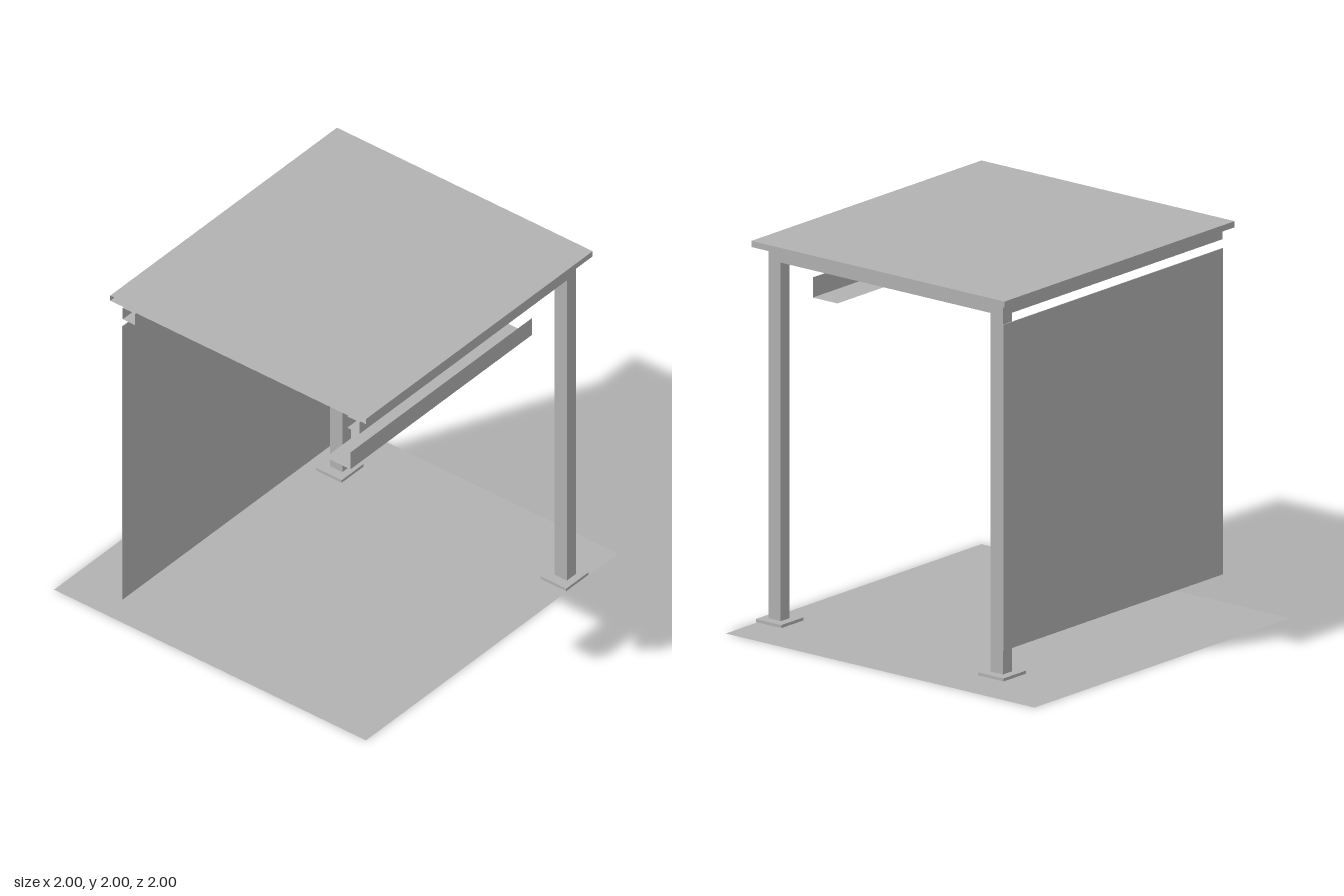
import * as THREE from 'three';

export function createModel() {
  const group = new THREE.Group();
  const grey = new THREE.MeshStandardMaterial({ color: 0xb2b2b2, side: THREE.DoubleSide });
  grey.name = 'light grey';

  // Box given by its two opposite corners; skipped faces are left open
  // (face order: +x, -x, +y, -y, +z, -z)
  function box(name, [x0, x1], [y0, y1], [z0, z1], open = []) {
    const geo = new THREE.BoxGeometry(x1 - x0, y1 - y0, z1 - z0);
    const index = [...geo.index.array];
    geo.setIndex(index.filter((_, i) => !open.includes(Math.floor(i / 6))));
    geo.clearGroups();
    const mesh = new THREE.Mesh(geo, grey);
    mesh.name = name;
    mesh.position.set((x0 + x1) / 2, (y0 + y1) / 2, (z0 + z1) / 2);
    group.add(mesh);
  }

  // Flat sheet centred at a point
  function sheet(name, width, height, position, tilt = 0) {
    const mesh = new THREE.Mesh(new THREE.PlaneGeometry(width, height), grey);
    mesh.name = name;
    mesh.position.set(...position);
    mesh.rotation.x = tilt;
    group.add(mesh);
  }

  const postX = [0.645, 0.715];

  // Ground sheet and roof slab, which is cut open at the -x end
  sheet('ground', 2, 2, [0, 0, 0], -Math.PI / 2);
  box('roof', [-1, 0.8], [1.968, 2], [-0.64, 1], [1]);

  // Front and back: post, base plate and hollow beam
  for (const [side, z] of [['front', 0.92], ['back', -0.52]]) {
    box(side + 'Post', postX, [0.02, 1.947], [z - 0.04, z + 0.04]);
    box(side + 'BasePlate', [0.59, 0.765], [0.005, 0.021], [z - 0.085, z + 0.08]);
    box(side + 'Beam', [-1, 0.715], [1.89, 1.961], [z - 0.04, z + 0.04], [0, 1]);
  }
  box('sideBeam', postX, [1.89, 1.966], [-0.48, 0.88], [4, 5]);

  // Back wall panel
  box('backPanel', [-1, 0.717], [0.145, 1.845], [-0.565, -0.56]);

  // Angled tray under the front beam, with its hanger
  sheet('trayFront', 1.44, 0.105, [-0.28, 1.6925, 0.9]);
  sheet('trayBottom', 1.44, 0.16, [-0.28, 1.64, 0.82], -Math.PI / 2);
  sheet('trayHanger', 0.04, 0.328, [0, 1.804, 0.75]);

  return group;
}
